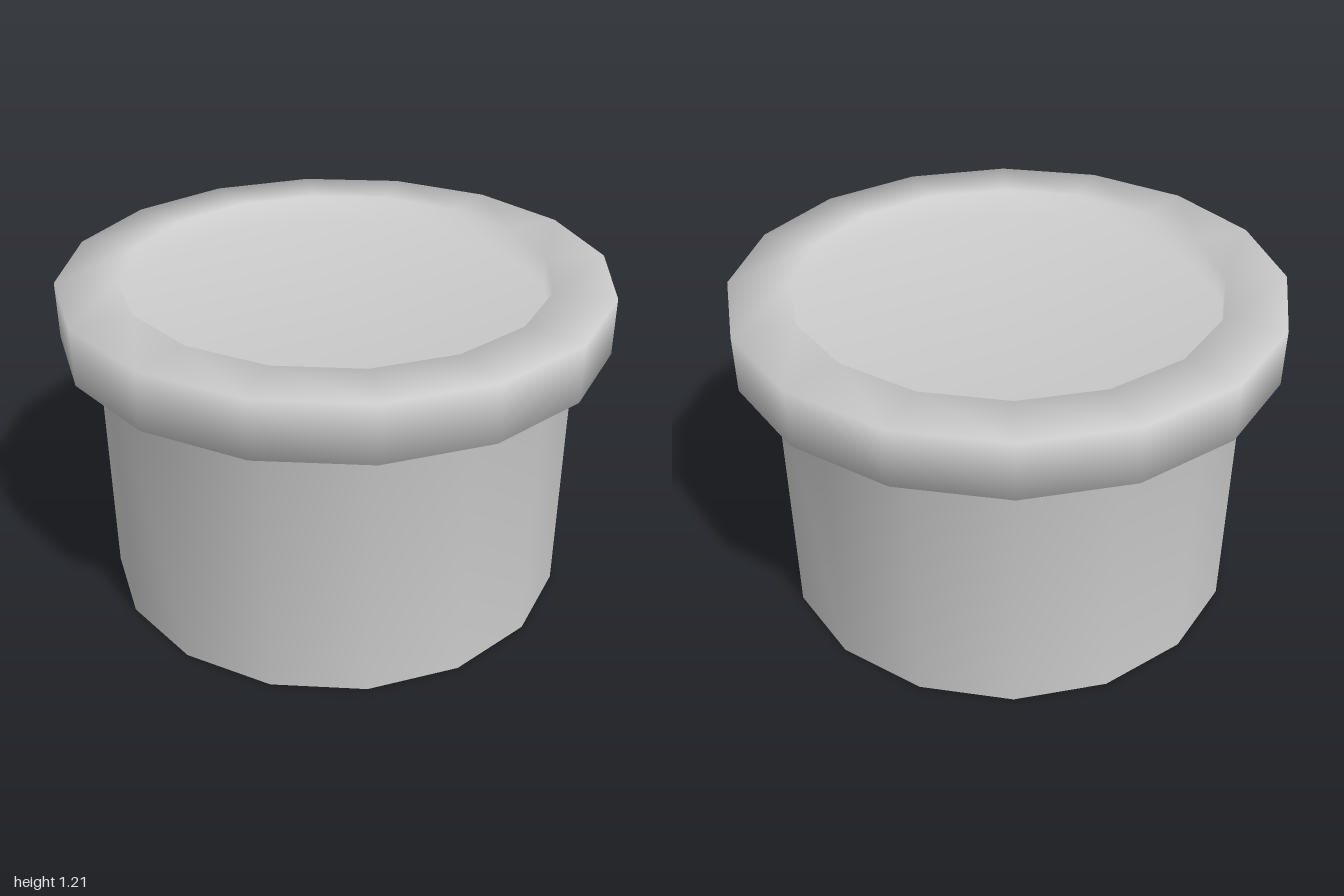
import * as THREE from 'three';

const SIDES = 16;

export function createModel() {
  const group = new THREE.Group();
  group.name = 'rimmedPipe';
  const material = new THREE.MeshStandardMaterial({ color: 0xcccccc, side: THREE.DoubleSide });

  // One smooth shell, open underneath: wall, overhanging rim, shallow recess
  const profile = [
    [0.875, 0], [0.875, 1],       // outer wall
    [1, 1], [1, 1.21],            // rim underside and outer band
    [0.78, 1.21], [0.78, 1.1],    // rim top and inner lip
    [0, 1.1],                     // recessed floor
  ].map(([r, y]) => new THREE.Vector2(r, y));

  const shell = new THREE.Mesh(new THREE.LatheGeometry(profile, SIDES), material);
  shell.name = 'pipeShell';
  group.add(shell);
  return group;
}
